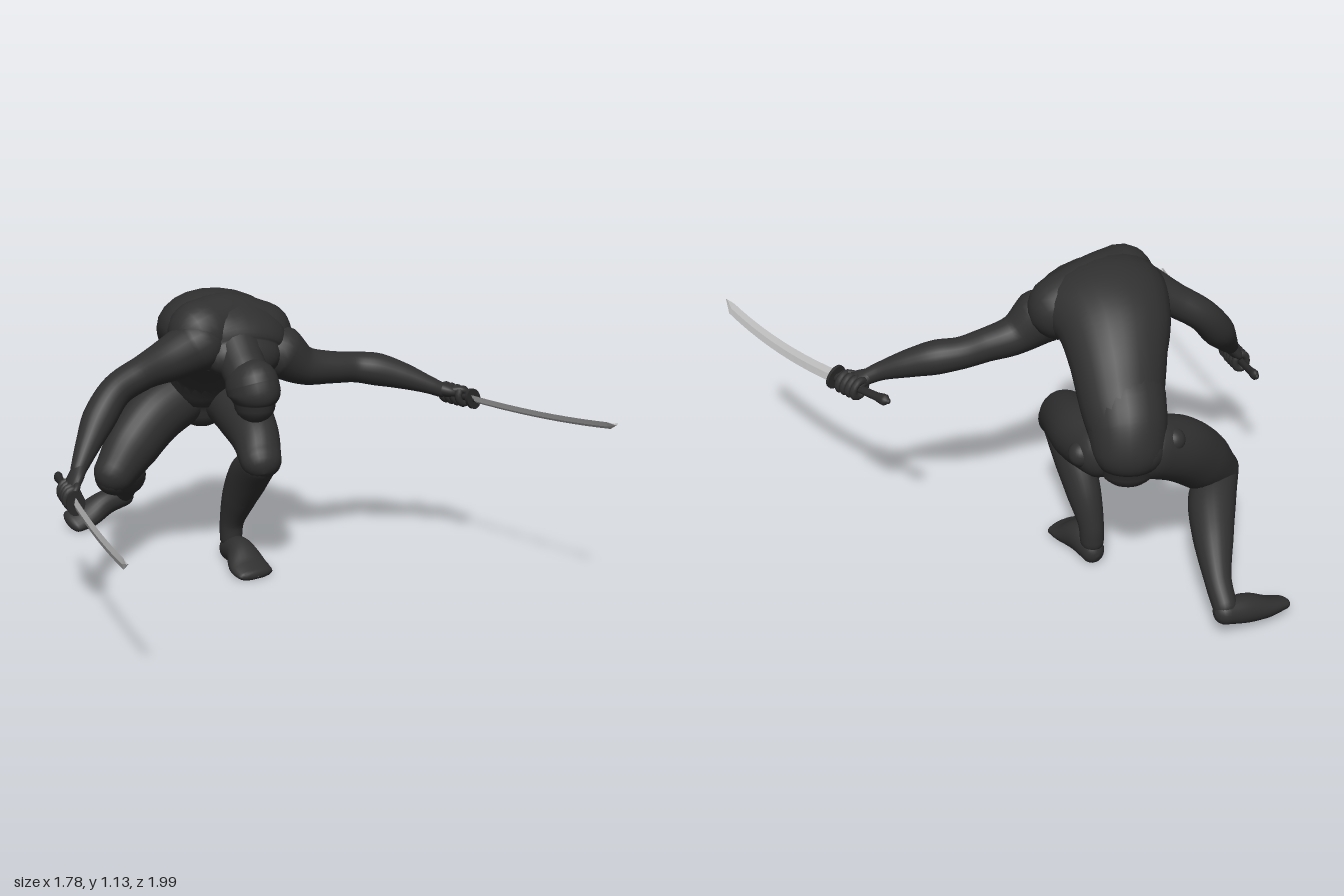
import * as THREE from 'three';

const V = (x, y, z) => new THREE.Vector3(x, y, z);
const mat = (name, color) => {
  const m = new THREE.MeshStandardMaterial({ color });
  m.name = name;
  return m;
};

// Smooth body part: stations are [x, y, z, half width along side, half depth],
// closed with rounded ends; floor flattens the underside.
function loft(name, material, stations, side = V(1, 0, 0), floor = -1, segs = 24) {
  const centers = new THREE.CatmullRomCurve3(stations.map(s => V(s[0], s[1], s[2])));
  const radii = new THREE.CatmullRomCurve3(stations.map(s => V(s[3], s[4] ?? s[3], 0)));
  const n = (stations.length - 1) * 6, rings = [];
  for (let i = 0; i <= n; i++) {
    const r = radii.getPoint(i / n);
    rings.push({ c: centers.getPoint(i / n), t: centers.getTangent(i / n), a: r.x, b: r.y });
  }
  const cap = (ring, sign) => [0.3, 0.6, 0.9, 1.2, 1.56].map(q => ({
    c: ring.c.clone().addScaledVector(ring.t, sign * Math.min(ring.a, ring.b) * Math.sin(q)),
    t: ring.t, a: ring.a * Math.cos(q), b: ring.b * Math.cos(q),
  }));
  const all = [...cap(rings[0], -1).reverse(), ...rings, ...cap(rings[n], 1)];
  const pos = [], idx = [];
  all.forEach(({ c, t, a, b }, i) => {
    const s = side.clone().addScaledVector(t, -side.dot(t)).normalize();
    const d = t.clone().cross(s);
    for (let j = 0; j < segs; j++) {
      const q = (j / segs) * Math.PI * 2;
      const p = c.clone().addScaledVector(s, a * Math.cos(q)).addScaledVector(d, b * Math.sin(q));
      pos.push(p.x, Math.max(p.y, floor), p.z);
      if (i === 0) continue;
      const k = (j + 1) % segs, lo = (i - 1) * segs, hi = i * segs;
      idx.push(lo + j, lo + k, hi + k, lo + j, hi + k, hi + j);
    }
  });
  const g = new THREE.BufferGeometry();
  g.setAttribute('position', new THREE.Float32BufferAttribute(pos, 3));
  g.setIndex(idx);
  g.computeVertexNormals();
  const mesh = new THREE.Mesh(g, material);
  mesh.name = name;
  return mesh;
}

function ball(name, material, p, r) {
  const m = new THREE.Mesh(new THREE.SphereGeometry(r, 24, 16), material);
  m.position.set(...p);
  m.name = name;
  return m;
}

// Curved sword with its gripping fingers; the guard sits at the origin, the tip on +x.
function sword(name, mats, guardAt, tipAt, up, bow) {
  const group = new THREE.Group();
  group.name = name;
  const L = guardAt.distanceTo(tipAt), c = 4 * bow / (L * L);
  const f = x => c * x * (x - L) * (x < 0 ? 0.6 : 1);

  // blade: flattened diamond section with a slanted tip
  const pos = [], idx = [], steps = 14;
  for (let i = 0; i <= steps; i++) {
    const x = L * i / steps, w = i === steps ? 0.001 : 0.024 - 0.004 * i / steps;
    const y = f(x) + (i === steps ? 0.012 : 0), t = 0.008 - 0.003 * i / steps;
    pos.push(x, y + w, 0, x, y, t, x, y - w, 0, x, y, -t);
    if (i) for (let j = 0; j < 4; j++) {
      const k = (j + 1) % 4, a = (i - 1) * 4, b = i * 4;
      idx.push(a + j, a + k, b + k, a + j, b + k, b + j);
    }
  }
  let g = new THREE.BufferGeometry();
  g.setAttribute('position', new THREE.Float32BufferAttribute(pos, 3));
  g.setIndex(idx);
  g = g.toNonIndexed();
  g.computeVertexNormals();
  const blade = new THREE.Mesh(g, mats.steel);
  blade.name = 'blade';

  // guard disc, handle and flared pommel
  const guard = new THREE.Mesh(new THREE.CylinderGeometry(0.045, 0.045, 0.012, 20), mats.grip);
  guard.rotation.z = Math.PI / 2;
  guard.scale.z = 0.75;
  guard.name = 'guard';
  const handle = loft('handle', mats.grip, [[0, 0, 0, 0.013, 0.017], [-0.12, f(-0.12), 0, 0.012, 0.015],
    [-0.21, f(-0.21), 0, 0.013, 0.016], [-0.245, f(-0.245), 0, 0.016, 0.021], [-0.265, f(-0.265), 0, 0.008, 0.01]],
    V(0, 0, 1), -1, 10);
  group.add(blade, guard, handle);

  // fingers curled round the handle
  for (let i = 0; i < 4; i++) {
    const x = -0.045 - i * 0.026;
    const finger = new THREE.Mesh(new THREE.TorusGeometry(0.025, 0.013, 8, 18), mats.body);
    finger.rotation.y = Math.PI / 2;
    finger.position.set(x, f(x), 0);
    finger.scale.y = 1.2;
    finger.name = 'finger';
    group.add(finger);
  }

  const X = tipAt.clone().sub(guardAt).normalize();
  const Y = up.clone().addScaledVector(X, -up.dot(X)).normalize();
  group.quaternion.setFromRotationMatrix(new THREE.Matrix4().makeBasis(X, Y, X.clone().cross(Y)));
  group.position.copy(guardAt);
  return group;
}

export function createModel() {
  const body = mat('charcoal body', 0x303030);
  const mats = { body, grip: mat('dark grip', 0x2a2a2a), steel: mat('steel', 0xb8b8b8) };
  const model = new THREE.Group();
  model.name = 'crouchingSwordsman';

  // torso, bent forward from hips to neck, and head
  model.add(
    loft('pelvis', body, [[0.175, 0.56, -0.55, 0.1, 0.08], [0.175, 0.62, -0.55, 0.128, 0.12],
      [0.155, 0.7, -0.515, 0.14, 0.135], [0.13, 0.77, -0.465, 0.145, 0.13]], V(0.83, 0, 0.56)),
    loft('torso', body, [[0.155, 0.7, -0.515, 0.14, 0.13], [0.135, 0.77, -0.46, 0.15, 0.13],
      [0.09, 0.87, -0.38, 0.172, 0.14], [0.035, 0.95, -0.28, 0.205, 0.15], [0, 0.985, -0.17, 0.23, 0.145],
      [0, 0.95, -0.06, 0.205, 0.125], [-0.01, 0.92, -0.02, 0.15, 0.09]], V(0.95, -0.13, 0.25)),
    loft('shoulderGirdle', body, [[-0.125, 1.005, -0.12, 0.118], [0, 1.016, -0.135, 0.112],
      [0.135, 0.965, -0.11, 0.115]], V(0, 0, 1)),
    loft('neck', body, [[-0.02, 0.96, -0.06, 0.1], [-0.045, 0.9, 0.03, 0.083], [-0.055, 0.86, 0.08, 0.08]]),
    loft('head', body, [[-0.055, 0.85, 0.1, 0.091, 0.108], [-0.055, 0.82, 0.112, 0.09, 0.107],
      [-0.055, 0.785, 0.115, 0.07, 0.085]]),
    ball('leftButtock', body, [0.195, 0.63, -0.555], 0.092),
    ball('rightButtock', body, [0.15, 0.63, -0.58], 0.09),
    ball('leftHipJoint', body, [0.295, 0.595, -0.445], 0.046),
    ball('rightHipJoint', body, [0.04, 0.645, -0.625], 0.043),
  );

  // arms
  model.add(
    loft('leftArm', body, [[0.17, 0.9, -0.03, 0.1], [0.25, 0.845, 0, 0.072], [0.36, 0.825, 0.03, 0.06],
      [0.45, 0.815, 0.05, 0.057], [0.52, 0.805, 0.09, 0.061], [0.6, 0.78, 0.15, 0.05],
      [0.68, 0.745, 0.215, 0.033], [0.72, 0.725, 0.24, 0.028]], V(0, 1, 0)),
    loft('rightArm', body, [[-0.16, 0.97, -0.09, 0.1], [-0.24, 0.925, -0.13, 0.083], [-0.33, 0.87, -0.19, 0.062],
      [-0.41, 0.81, -0.235, 0.06], [-0.48, 0.73, -0.235, 0.062], [-0.56, 0.64, -0.2, 0.045],
      [-0.62, 0.575, -0.165, 0.03]], V(0, 0, 1)),
    loft('leftPalm', body, [[0.71, 0.73, 0.235, 0.028, 0.025], [0.75, 0.718, 0.25, 0.045, 0.024],
      [0.775, 0.712, 0.255, 0.04, 0.018]], V(0.1, 0, 1)),
    loft('rightPalm', body, [[-0.615, 0.58, -0.165, 0.028, 0.025], [-0.65, 0.54, -0.15, 0.045, 0.024],
      [-0.67, 0.515, -0.145, 0.04, 0.018]], V(-0.25, 0, 1)),
    loft('leftThumb', body, [[0.74, 0.725, 0.27, 0.014], [0.77, 0.73, 0.3, 0.012], [0.79, 0.72, 0.31, 0.01]], V(0, 1, 0)),
    loft('rightThumb', body, [[-0.65, 0.54, -0.13, 0.014], [-0.67, 0.53, -0.1, 0.012], [-0.69, 0.515, -0.09, 0.01]], V(0, 1, 0)),
  );

  // left leg, planted in front
  model.add(
    loft('leftThigh', body, [[0.23, 0.595, -0.46, 0.09, 0.1], [0.205, 0.585, -0.32, 0.105, 0.112],
      [0.15, 0.545, -0.16, 0.09, 0.1], [0.11, 0.485, -0.07, 0.08, 0.072]]),
    loft('leftShin', body, [[0.11, 0.47, -0.08, 0.07], [0.13, 0.38, -0.18, 0.068, 0.086],
      [0.14, 0.27, -0.255, 0.06, 0.072], [0.142, 0.16, -0.302, 0.046, 0.049], [0.142, 0.09, -0.308, 0.042, 0.046]]),
    loft('leftFoot', body, [[0.142, 0.045, -0.31, 0.044, 0.05], [0.13, 0.055, -0.23, 0.056, 0.06],
      [0.108, 0.028, -0.14, 0.08, 0.036], [0.105, 0.018, -0.095, 0.076, 0.024]], V(1, 0, 0), 0.002),
  );

  // right leg, pushing off behind
  model.add(
    loft('rightThigh', body, [[0.09, 0.61, -0.57, 0.1, 0.115], [-0.03, 0.555, -0.57, 0.105, 0.118],
      [-0.14, 0.465, -0.56, 0.1, 0.112], [-0.235, 0.37, -0.545, 0.08, 0.085]], V(0, 0, 1)),
    loft('rightShin', body, [[-0.235, 0.355, -0.55, 0.076], [-0.145, 0.32, -0.63, 0.085],
      [-0.06, 0.26, -0.74, 0.072], [0.015, 0.175, -0.86, 0.047], [0.035, 0.12, -0.92, 0.043]]),
    loft('rightFoot', body, [[0.04, 0.1, -0.93, 0.043, 0.045], [-0.04, 0.085, -0.94, 0.05, 0.052],
      [-0.13, 0.05, -0.94, 0.062, 0.04], [-0.195, 0.036, -0.94, 0.06, 0.027]], V(0, 0.42, -0.9), 0.002),
  );

  // swords
  model.add(
    sword('leftSword', mats, V(0.79, 0.702, 0.34), V(0.878, 0.748, 0.99), V(-0.65, 0.76, 0), 0.023),
    sword('rightSword', mats, V(-0.7, 0.492, -0.06), V(-0.885, 0.505, 0.565), V(0, 1, 0), 0.016),
  );
  return model;
}
